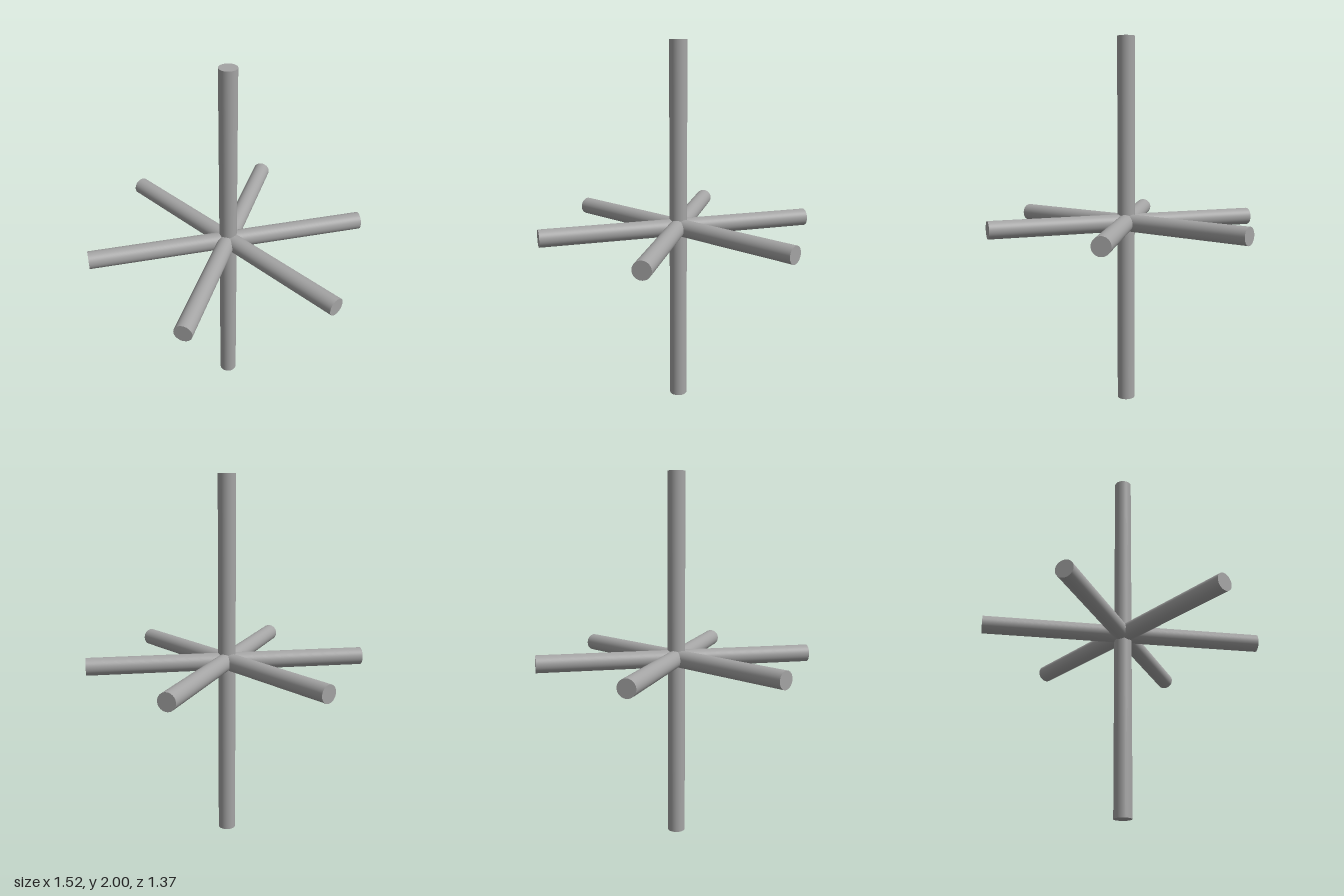
import * as THREE from 'three';

const RADIUS = 0.0476;
const HEIGHT = 2;
const SPAN = 1.524;

export function createModel() {
  const model = new THREE.Group();
  model.name = 'crossedRods';
  const material = new THREE.MeshStandardMaterial({ color: 0xa4a4a4 });

  // A round rod centred on the crossing point
  const addRod = (name, length) => {
    const rod = new THREE.Mesh(new THREE.CylinderGeometry(RADIUS, RADIUS, length, 48), material);
    rod.name = name;
    rod.position.y = HEIGHT / 2;
    model.add(rod);
    return rod;
  };

  // Upright rod
  addRod('verticalRod', HEIGHT);

  // Three level rods, 60 degrees apart, forming six spokes
  for (let i = 0; i < 3; i++) {
    const rod = addRod(`horizontalRod${i + 1}`, SPAN);
    rod.rotation.set(0, (i * Math.PI) / 3, Math.PI / 2, 'YXZ');
  }

  return model;
}
